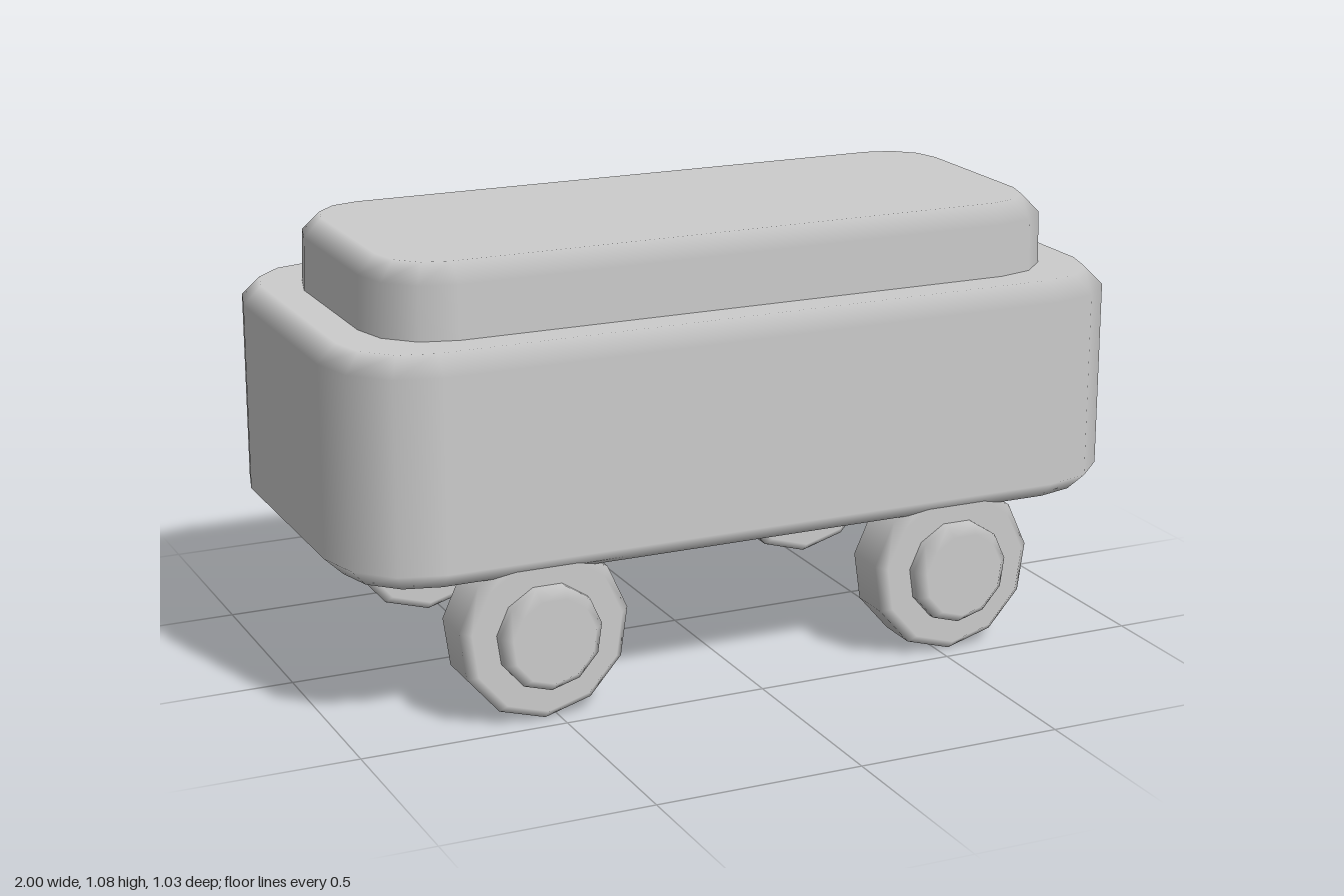
import * as THREE from 'three';

// Outline points: a core position plus an outward direction scaled by the corner radius
function roundedRect(hx, hz, segments) {
  const points = [];
  const corners = [[1, 1], [-1, 1], [-1, -1], [1, -1]];
  corners.forEach(([sx, sz], c) => {
    for (let i = 0; i <= segments; i++) {
      const a = (c + i / segments) * Math.PI / 2;
      points.push({ cx: sx * hx, cz: sz * hz, nx: Math.cos(a), nz: Math.sin(a) });
    }
  });
  return points;
}

function polygon(sides) {
  return Array.from({ length: sides }, (_, i) => {
    const a = Math.PI / 2 + i / sides * Math.PI * 2;
    return { cx: 0, cz: 0, nx: Math.cos(a), nz: Math.sin(a) };
  });
}

// Stacks the outline along y; each ring is [radius, y, slope], slope -1 / 0 / 1 = faces down / out / up
function bevelledSolid(outline, rings) {
  const pos = [], nor = [], index = [];
  const n = outline.length;
  for (const [r, y, slope] of rings) {
    for (const o of outline) {
      pos.push(o.cx + o.nx * r, y, o.cz + o.nz * r);
      if (slope) nor.push(0, slope, 0);
      else nor.push(o.nx, 0, o.nz);
    }
  }
  const last = rings.length - 1;
  const bottom = n * rings.length, top = bottom + 1;
  pos.push(0, rings[0][1], 0, 0, rings[last][1], 0);
  nor.push(0, -1, 0, 0, 1, 0);
  for (let i = 0; i < n; i++) {
    const j = (i + 1) % n;
    for (let k = 0; k < last; k++) {
      const a = k * n, b = a + n;
      index.push(a + i, b + i, a + j, b + i, b + j, a + j);
    }
    index.push(bottom, i, j, top, last * n + j, last * n + i);
  }
  const g = new THREE.BufferGeometry();
  g.setAttribute('position', new THREE.Float32BufferAttribute(pos, 3));
  g.setAttribute('normal', new THREE.Float32BufferAttribute(nor, 3));
  g.setIndex(index);
  return g;
}

export function createModel() {
  const model = new THREE.Group();
  model.name = 'toyWagon';
  const grey = new THREE.MeshStandardMaterial({ color: 0xcccccc });
  grey.name = 'plainGrey';

  const add = (parent, name, geometry) => {
    const mesh = new THREE.Mesh(geometry, grey);
    mesh.name = name;
    parent.add(mesh);
    return mesh;
  };

  // Main body and the smaller roof block on it
  add(model, 'body', bevelledSolid(roundedRect(0.78, 0.28, 3), [
    [0.175, 0.362, -1], [0.22, 0.405, 0], [0.22, 0.862, 0], [0.175, 0.906, 1],
  ]));
  add(model, 'roof', bevelledSolid(roundedRect(0.695, 0.195, 3), [
    [0.18, 0.88, -1], [0.18, 0.9, 0], [0.176, 1.033, 0], [0.132, 1.077, 1],
  ]));

  // Four wheels with raised hubs on the outer side
  const tyre = bevelledSolid(polygon(11), [
    [0.187, 0.317, -1], [0.21, 0.34, 0], [0.21, 0.447, 0], [0.187, 0.47, 1],
  ]);
  const hub = bevelledSolid(polygon(11), [
    [0.127, 0.45, -1], [0.127, 0.46, 0], [0.127, 0.49, 0], [0.103, 0.515, 1],
  ]);
  for (const side of [1, -1]) {
    for (const end of [1, -1]) {
      const wheel = new THREE.Group();
      wheel.name = (side > 0 ? 'front' : 'back') + (end > 0 ? 'Left' : 'Right') + 'Wheel';
      add(wheel, 'tyre', tyre).rotation.x = Math.PI / 2;
      add(wheel, 'hub', hub).rotation.x = Math.PI / 2;
      wheel.rotation.y = side > 0 ? 0 : Math.PI;
      wheel.position.set(end * 0.533, 0.212, 0);
      model.add(wheel);
    }
  }
  return model;
}
